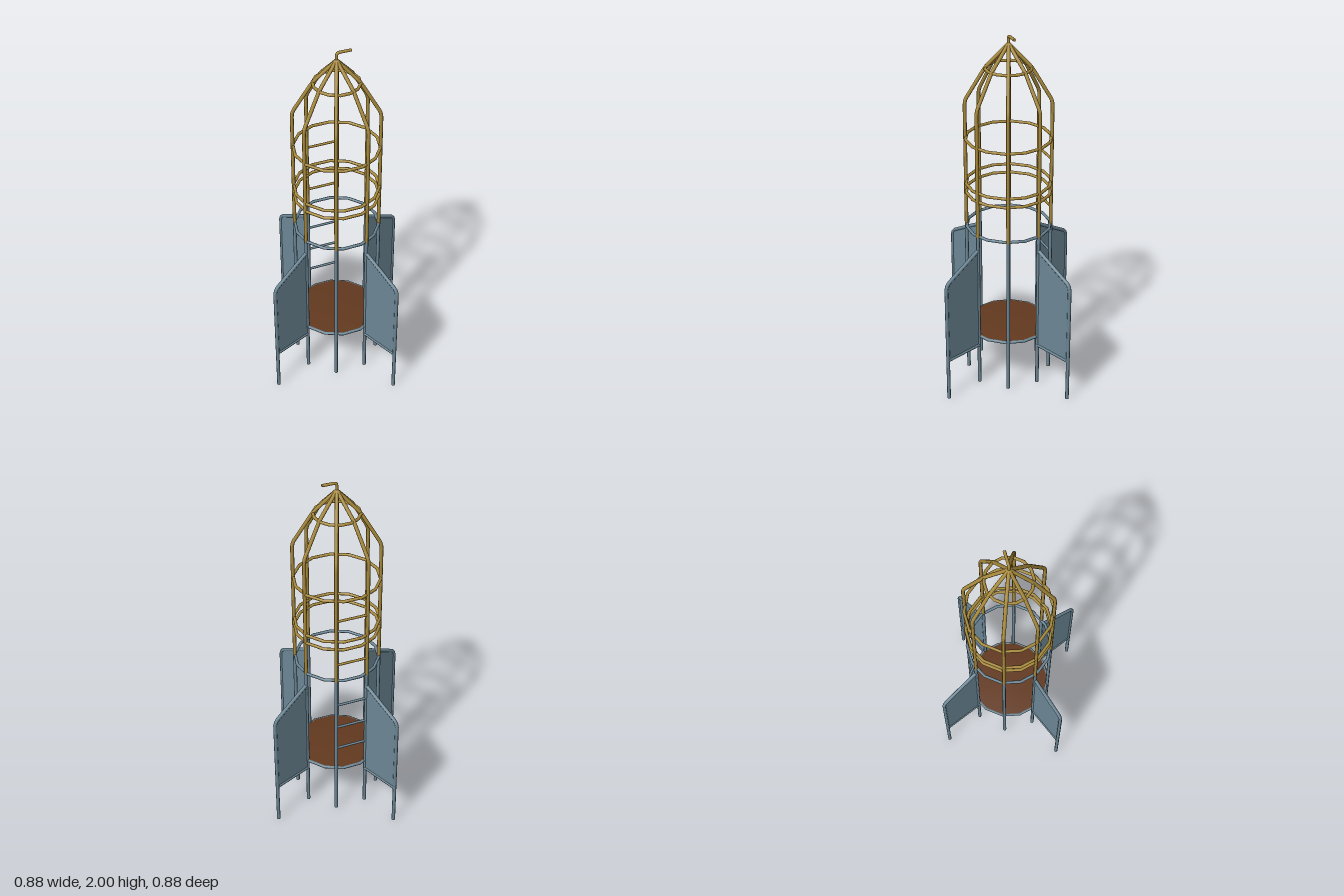
import * as THREE from 'three';
import { mergeVertices } from 'three/addons/utils/BufferGeometryUtils.js';

const V = (x, y, z = 0) => new THREE.Vector3(x, y, z);

export function createModel() {
  const model = new THREE.Group();
  model.name = 'rocketClimbingFrame';
  const mat = (name, color) => {
    const m = new THREE.MeshStandardMaterial({ color });
    m.name = name;
    return m;
  };
  const steel = mat('blueGreySteel', 0x6c8796);
  const gold = mat('goldPaint', 0xa88a3c);
  const brown = mat('brownFloor', 0x63391f);

  const R = 0.23, TUBE = 0.01;
  const add = (parent, name, geometry, material) => {
    const mesh = new THREE.Mesh(geometry, material);
    mesh.name = name;
    parent.add(mesh);
    return mesh;
  };

  // Bent pipe through corner points, each corner rounded over distance b
  const pipe = (points, radius, b, segments) => {
    const path = new THREE.CurvePath();
    let from = points[0];
    for (let i = 1; i < points.length - 1; i++) {
      const p = points[i];
      const before = p.clone().add(points[i - 1].clone().sub(p).setLength(b));
      const after = p.clone().add(points[i + 1].clone().sub(p).setLength(b));
      path.add(new THREE.LineCurve3(from, before));
      path.add(new THREE.QuadraticBezierCurve3(before, p, after));
      from = after;
    }
    path.add(new THREE.LineCurve3(from, points[points.length - 1]));
    return new THREE.TubeGeometry(path, segments, radius, 8, false);
  };

  // Eight uprights: steel below, gold above, bending in to the tip
  for (let i = 0; i < 8; i++) {
    const post = new THREE.Group();
    post.name = 'upright';
    post.rotation.y = Math.PI / 8 + (i * Math.PI) / 4;
    model.add(post);
    add(post, 'lowerPost', new THREE.CylinderGeometry(TUBE, TUBE, 0.92, 8), steel).position.set(R, 0.46, 0);
    const profile = [V(R, 0.92), V(R, 1.64), V(0.12, 1.825), V(0, 1.95)];
    add(post, 'upperPost', pipe(profile, TUBE, 0.025, 64), gold);
  }

  // Hoops
  const hoop = (name, y, radius, material) => {
    const g = new THREE.TorusGeometry(radius, 0.0085, 8, 14).rotateX(Math.PI / 2);
    add(model, name, g, material).position.y = y;
  };
  hoop('floorHoop', 0.3, R, steel);
  hoop('middleHoop', 0.925, R, steel);
  for (const y of [1.13, 1.18, 1.435]) hoop('upperHoop', y, R, gold);
  hoop('noseHoop', 1.82, 0.122, gold);

  // Floor disc with softened rim
  let floor = new THREE.CylinderGeometry(0.227, 0.227, 0.014, 14).rotateY(Math.PI / 2);
  floor.deleteAttribute('normal');
  floor.deleteAttribute('uv');
  floor = mergeVertices(floor);
  floor.computeVertexNormals();
  add(model, 'floor', floor, brown).position.y = 0.3;

  // Ladder rungs across the back
  const a = Math.PI / 8;
  for (const y of [0.45, 0.6, 0.755, 1.03, 1.31]) {
    const g = new THREE.CylinderGeometry(0.007, 0.007, 2 * R * Math.sin(a), 8).rotateZ(Math.PI / 2);
    add(model, 'rung', g, y < 0.92 ? steel : gold).position.set(0, y, -R * Math.cos(a));
  }

  // Four fins: bent leg, lower bar and thin panel
  const F = 0.464;
  const outline = new THREE.Shape();
  outline.moveTo(R, 0.245);
  outline.lineTo(F, 0.245);
  outline.lineTo(F, 0.685);
  outline.quadraticCurveTo(F, 0.715, F - 0.026, 0.73);
  outline.lineTo(R, 0.842);
  const panel = new THREE.ExtrudeGeometry(outline, { depth: 0.008, bevelEnabled: false }).translate(0, 0, -0.004);
  const leg = pipe([V(F, 0), V(F, 0.715), V(R, 0.842)], TUBE, 0.03, 48);
  const bar = new THREE.CylinderGeometry(TUBE, TUBE, F - R, 8).rotateZ(Math.PI / 2);
  const foot = new THREE.CircleGeometry(TUBE, 8).rotateX(Math.PI / 2);
  for (let i = 0; i < 4; i++) {
    const fin = new THREE.Group();
    fin.name = 'fin';
    fin.rotation.y = a + (i * Math.PI) / 2;
    model.add(fin);
    add(fin, 'finPanel', panel, steel);
    add(fin, 'finLeg', leg, steel);
    add(fin, 'finFoot', foot, steel).position.x = F;
    add(fin, 'finBar', bar, steel).position.set((F + R) / 2, 0.245, 0);
  }

  // Hooked tip
  add(model, 'tipHook', pipe([V(0, 1.93), V(0, 1.992), V(0.08, 1.992)], 0.008, 0.015, 32), gold);
  add(model, 'tipHookEnd', new THREE.CircleGeometry(0.008, 8).rotateY(Math.PI / 2), gold).position.set(0.08, 1.992, 0);

  return model;
}
